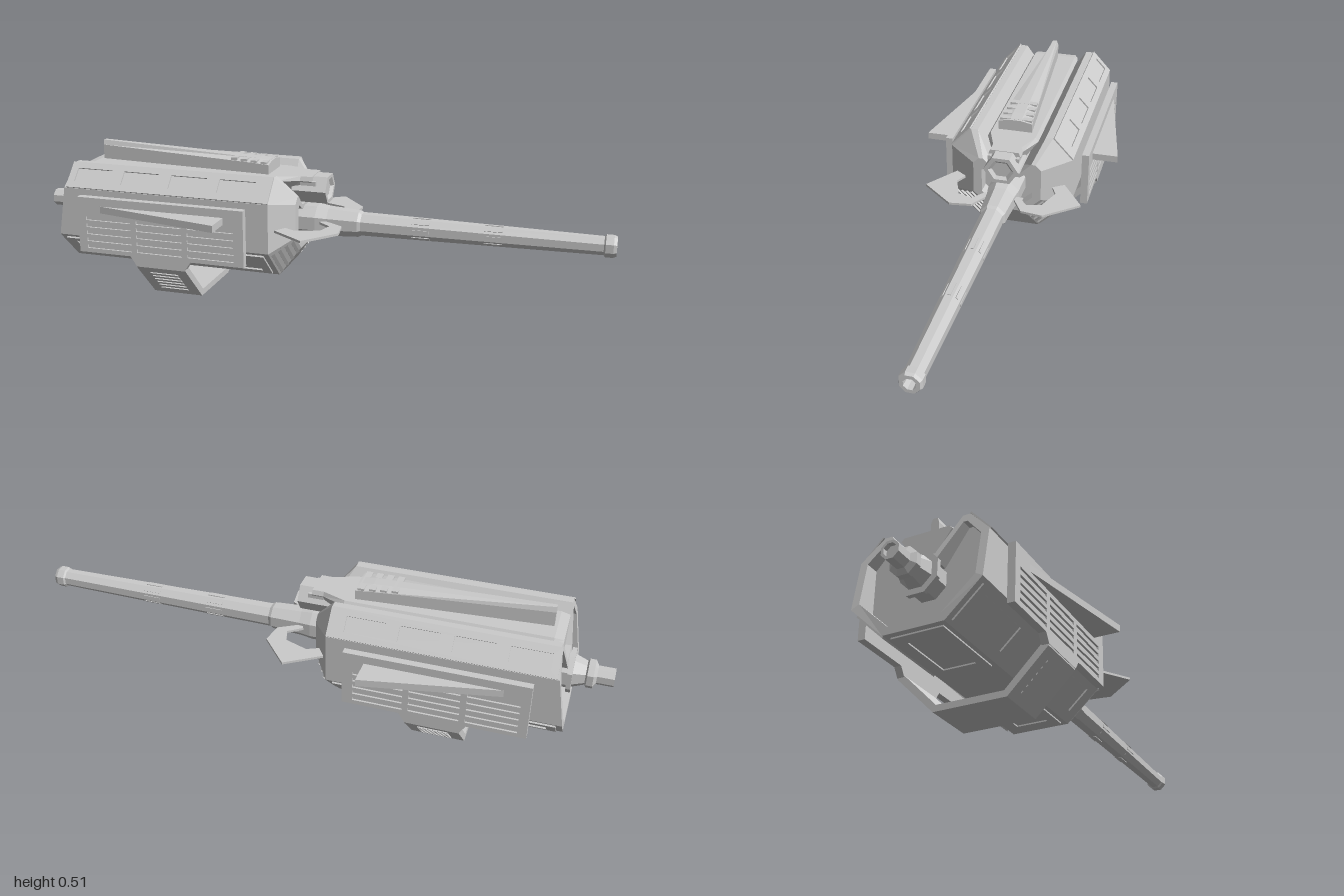
import * as THREE from 'three';

const AXIS_Y = 0.277;

export function createModel() {
  const root = new THREE.Group();
  const mat = new THREE.MeshStandardMaterial({ color: 0xcccccc, flatShading: true, side: THREE.DoubleSide });

  const add = (name, geo) => {
    const g = geo.index ? geo.toNonIndexed() : geo;
    g.computeVertexNormals();
    const mesh = new THREE.Mesh(g, mat);
    mesh.name = name;
    root.add(mesh);
  };
  // Adds a part and its reflection across z = 0, with the winding turned round
  const addPair = (name, geo) => {
    const g = geo.index ? geo.toNonIndexed() : geo;
    const m = g.clone().scale(1, 1, -1);
    const p = m.attributes.position;
    for (let i = 0; i < p.count; i += 3) {
      const a = new THREE.Vector3().fromBufferAttribute(p, i + 1);
      const b = new THREE.Vector3().fromBufferAttribute(p, i + 2);
      p.setXYZ(i + 1, b.x, b.y, b.z);
      p.setXYZ(i + 2, a.x, a.y, a.z);
    }
    add(name + 'Left', g);
    add(name + 'Right', m);
  };
  const box = (x0, x1, y0, y1, z0, z1) =>
    new THREE.BoxGeometry(x1 - x0, y1 - y0, z1 - z0).translate((x0 + x1) / 2, (y0 + y1) / 2, (z0 + z1) / 2);
  const shapeOf = pts => new THREE.Shape(pts.map(p => new THREE.Vector2(...p)));
  const rect = (x0, x1, y0, y1) => [[x0, y0], [x1, y0], [x1, y1], [x0, y1]];
  const plate = (pts, holes, depth) => {
    const s = shapeOf(pts);
    s.holes = holes.map(h => new THREE.Path(h.map(p => new THREE.Vector2(...p))));
    return new THREE.ExtrudeGeometry(s, { depth, bevelEnabled: false });
  };
  // Half section [z, y] from bottom to top, completed by mirroring
  const full = half => [...half, ...half.map(([z, y]) => [-z, y]).reverse()];
  // Skin through sections [x or x(y), points], closed at both ends
  const loft = sections => {
    const rings = sections.map(([x, pts]) =>
      pts.map(([z, y]) => [typeof x === 'function' ? x(y) : x, y, z]));
    const out = [];
    const n = rings[0].length;
    for (let k = 0; k + 1 < rings.length; k++) {
      for (let i = 0; i < n; i++) {
        const j = (i + 1) % n, a = rings[k], b = rings[k + 1];
        out.push(...a[i], ...b[i], ...b[j], ...a[i], ...b[j], ...a[j]);
      }
    }
    [0, rings.length - 1].forEach((k, end) => {
      const flat = sections[k][1].map(p => new THREE.Vector2(...p));
      for (const [a, b, c] of THREE.ShapeUtils.triangulateShape(flat, [])) {
        const r = rings[k];
        out.push(...r[a], ...r[end ? c : b], ...r[end ? b : c]);
      }
    });
    const g = new THREE.BufferGeometry();
    g.setAttribute('position', new THREE.Float32BufferAttribute(out, 3));
    return g;
  };
  // Octagonal turned part along x, from [x, r] points
  const turned = pts => new THREE.LatheGeometry(pts.map(([x, r]) => new THREE.Vector2(r, x)), 8, Math.PI / 8)
    .rotateZ(-Math.PI / 2).translate(0, AXIS_Y, 0);

  // Hull: octagon with a V notch on top, recessed at both ends
  const outer = full([[0.1, 0.1], [0.215, 0.21], [0.215, 0.38], [0.145, 0.455], [0.12, 0.455], [0.045, 0.34]]);
  const rearRim = full([[0.085, 0.125], [0.19, 0.225], [0.19, 0.37], [0.138, 0.43], [0.125, 0.43], [0.05, 0.315]]);
  const nose = full([[0.06, 0.19], [0.12, 0.245], [0.12, 0.36], [0.1, 0.38], [0.085, 0.38], [0.045, 0.34]]);
  const noseRim = full([[0.048, 0.212], [0.09, 0.25], [0.09, 0.335], [0.08, 0.345], [0.075, 0.345], [0.045, 0.325]]);
  const rearX = y => -0.87 + 0.04 * Math.max(0, (y - 0.21) / 0.245);
  add('hull', loft([[-0.8, rearRim], [rearX, rearRim], [rearX, outer], [-0.1, outer],
    [-0.035, nose], [-0.035, noseRim], [-0.085, noseRim]]));

  // Window frames on the upper slopes
  const windows = [-0.81, -0.635, -0.46, -0.285].map(x => rect(x, x + 0.13, -0.026, 0.026));
  addPair('windowFrame', plate(rect(-0.835, -0.1, -0.05, 0.05), windows, 0.005)
    .rotateX(-0.751).translate(0, 0.4175, 0.18));

  // Frames on the lower slopes and under the hull
  for (const [x0, x1] of [[-0.85, -0.58], [-0.36, -0.12]]) {
    addPair('lowerFrame', plate(rect(x0, x1, -0.065, 0.065), [rect(x0 + 0.03, x1 - 0.03, -0.045, 0.045)], 0.006)
      .rotateX(0.808).translate(0, 0.155, 0.1575));
    add('bellyFrame', plate(rect(x0, x1, -0.085, 0.085), [rect(x0 + 0.04, x1 - 0.04, -0.055, 0.055)], 0.005)
      .rotateX(Math.PI / 2).translate(0, 0.1, 0));
  }

  // Louvres on the lower front chamfer
  const corner = (x, y, z) => new THREE.Vector3(x, y, z);
  for (const t of [0.12, 0.36, 0.6, 0.84]) {
    const a = corner(-0.1, 0.21, 0.215).lerp(corner(-0.035, 0.245, 0.12), t);
    const b = corner(-0.1, 0.1, 0.1).lerp(corner(-0.035, 0.19, 0.06), t);
    const line = new THREE.LineCurve3(a.clone().lerp(b, 0.06), a.clone().lerp(b, 0.94));
    addPair('louvre', new THREE.TubeGeometry(line, 1, 0.008, 4));
  }

  // Spine block in the notch, narrowing towards the front
  const spine = (s, top) => full([[0.035 * s, 0.347], [0.09 * s, 0.425], [0.08 * s, top]]);
  add('spine', loft([[-0.83, spine(0.95, 0.435)], [-0.8, spine(1, 0.44)], [-0.12, spine(1, 0.44)],
    [-0.04, spine(0.62, 0.44)], [0, spine(0.62, 0.44)]]));
  const hex = s => full([[0.03, -0.046], [0.06, 0], [0.03, 0.046]].map(([z, y]) => [z * s, 0.392 + y * s]));
  add('sight', loft([[-0.07, hex(1)], [0.05, hex(1)], [0.05, hex(0.75)], [0.04, hex(0.55)]]));
  addPair('sightSlot', box(-0.04, 0.015, 0.41, 0.425, 0.043, 0.054));

  // Tapered fin on the spine with stepped slats
  add('topFin', loft([[-0.79, full([[0.014, 0.43], [0.014, 0.49], [0.008, 0.507]])],
    [-0.2, full([[0.056, 0.43], [0.056, 0.475], [0.02, 0.484]])],
    [-0.15, full([[0.06, 0.43], [0.06, 0.472], [0.02, 0.48]])]]));
  for (let i = 0; i < 4; i++) {
    const x = -0.29 + i * 0.037;
    add('finSlat', box(x, x + 0.022, 0.45, 0.487 - i * 0.002, -0.048 - i * 0.003, 0.048 + i * 0.003));
  }

  // Side shields: backing plus a slotted face
  const shield = [[-0.77, 0.17], [-0.58, 0.17], [-0.56, 0.14], [-0.38, 0.14], [-0.36, 0.17],
    [-0.17, 0.17], [-0.17, 0.365], [-0.77, 0.365]];
  const slots = [];
  for (let r = 0; r < 5; r++) {
    for (let c = 0; c < 3; c++) {
      const x = -0.74 + c * 0.185, y = 0.185 + r * 0.025;
      slots.push(rect(x, x + 0.165, y, y + 0.012));
    }
  }
  addPair('shieldBack', plate(shield, [], 0.018).translate(0, 0, 0.235));
  addPair('shieldFace', plate(shield, slots, 0.007).translate(0, 0, 0.253));
  addPair('sideFin', plate([[-0.71, 0.255], [-0.24, 0.255], [-0.24, 0.35]], [], 0.024)
    .rotateX(Math.PI / 2).translate(0, 0.337, 0));

  // Cradle band under the hull, with ribs
  const band = [[0.258, 0.17], [0.258, 0.135], [0.125, 0], [-0.125, 0], [-0.258, 0.135], [-0.258, 0.17],
    [-0.235, 0.17], [-0.235, 0.145], [-0.115, 0.022], [0.115, 0.022], [0.235, 0.145], [0.235, 0.17]];
  add('cradle', plate(band, [], 0.18).rotateY(-Math.PI / 2).translate(-0.38, 0, 0));
  for (let i = 0; i < 6; i++) {
    const t = 0.2 + i * 0.12;
    addPair('cradleRib', new THREE.BoxGeometry(0.1, 0.008, 0.008).rotateX(0.79)
      .translate(-0.47, 0.135 * t, 0.125 + 0.133 * t));
  }

  // Thin guards beside the barrel root
  addPair('guard', plate([[-0.09, 0.19], [0.03, 0.272], [0.125, 0.16], [0.115, 0.085], [0.04, 0.04],
    [0.03, 0.06], [0.075, 0.095], [0.06, 0.145], [-0.02, 0.175], [-0.09, 0.14]], [], 0.008)
    .rotateX(Math.PI / 2).translate(0, 0.288, 0));

  // Barrel with sleeve, vents and hollow muzzle
  add('barrelSleeve', turned([[-0.09, 0], [-0.09, 0.058], [0.01, 0.058], [0.05, 0.052], [0.155, 0.046],
    [0.17, 0.038]]));
  add('barrel', turned([[0.1, 0.041], [0.3, 0.039], [0.96, 0.031], [0.965, 0.037], [0.99, 0.037], [1, 0.032],
    [1, 0.02], [0.93, 0.018], [0.93, 0]]));
  for (const [x, r] of [[0.37, 0.0355], [0.61, 0.0325]]) {
    for (let i = 0; i < 8; i++) {
      add('barrelVent', new THREE.BoxGeometry(0.06, 0.005, 0.01).translate(x, r, 0)
        .rotateX(i * Math.PI / 4).translate(0, AXIS_Y, 0));
    }
  }

  // Rear coupling
  add('rearCoupling', turned([[-0.985, 0], [-0.985, 0.022], [-1, 0.022], [-1, 0.031], [-0.945, 0.031],
    [-0.935, 0.048], [-0.915, 0.048], [-0.91, 0.04], [-0.87, 0.055], [-0.87, 0.075], [-0.855, 0.075],
    [-0.855, 0.06], [-0.8, 0.06]]));

  return root;
}
